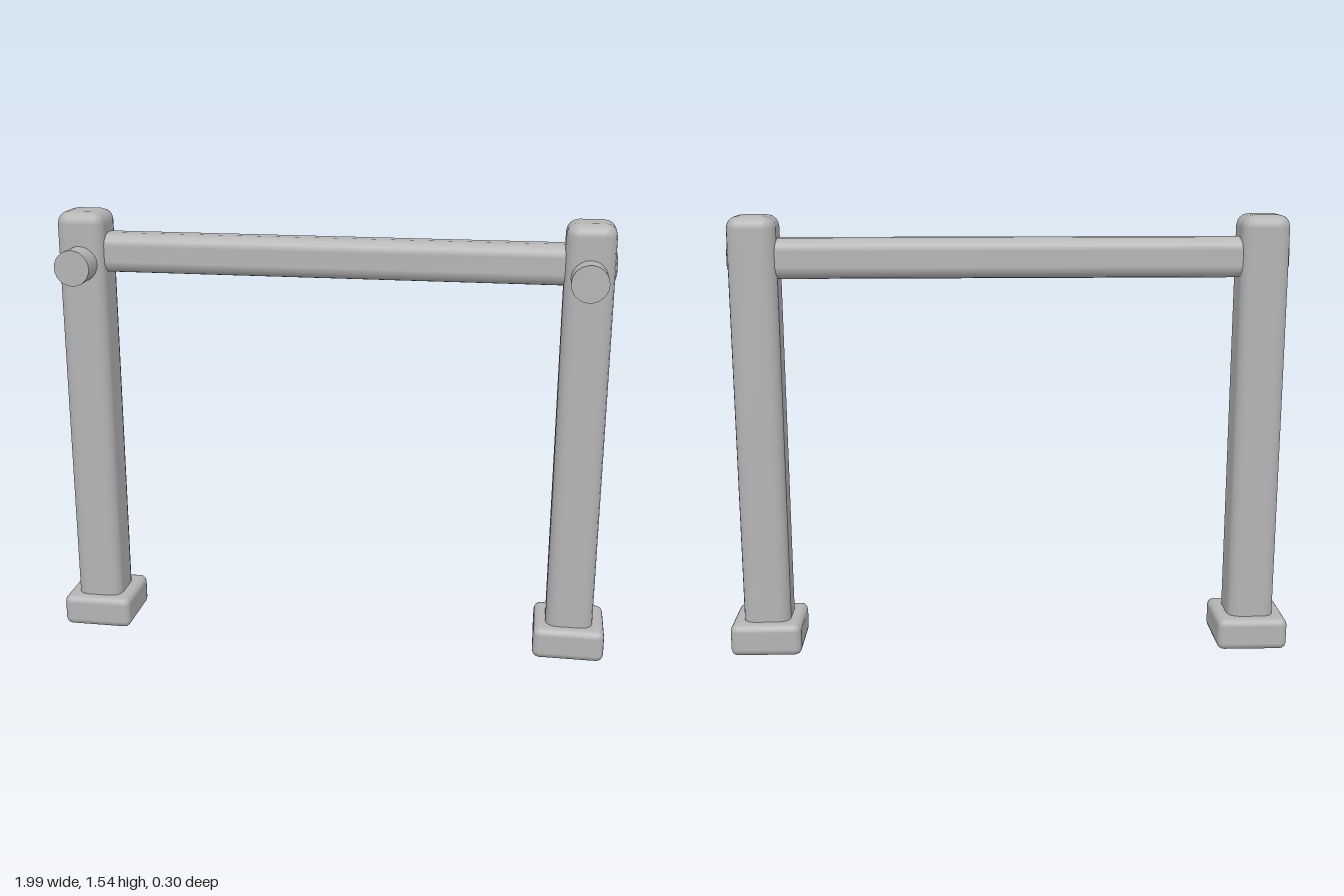
import * as THREE from 'three';
import { RoundedBoxGeometry } from 'three/addons/geometries/RoundedBoxGeometry.js';

export function createModel() {
  const model = new THREE.Group();
  model.name = 'barFrame';
  const grey = new THREE.MeshStandardMaterial({ color: 0xb4b4b4 });
  grey.name = 'grey';

  const add = (name, geometry, x, y, z) => {
    const mesh = new THREE.Mesh(geometry, grey);
    mesh.name = name;
    mesh.position.set(x, y, z);
    model.add(mesh);
    return mesh;
  };

  // Soft-edged block given by its size and edge radius
  const block = (w, h, d, r) => new RoundedBoxGeometry(w, h, d, 2, r);

  // Two uprights, each with a foot and a front peg
  for (const [side, s] of [['left', 1], ['right', -1]]) {
    add(side + 'Foot', block(0.25, 0.115, 0.255, 0.025), s * 0.87, 0.0625, -0.0225);
    add(side + 'Post', block(0.166, 1.5, 0.176, 0.042), s * 0.87, 0.8, -0.02);
    const peg = add(side + 'Peg', new THREE.CylinderGeometry(0.062, 0.062, 0.13, 24), s * 0.87, 1.372, 0.088);
    peg.rotation.x = Math.PI / 2;
  }

  // Crossbar, its ends just showing through the posts
  add('crossbar', block(1.92, 0.138, 0.125, 0.042), 0, 1.405, -0.024);

  // Rest the feet on the ground
  model.position.y = -0.005;
  return model;
}
